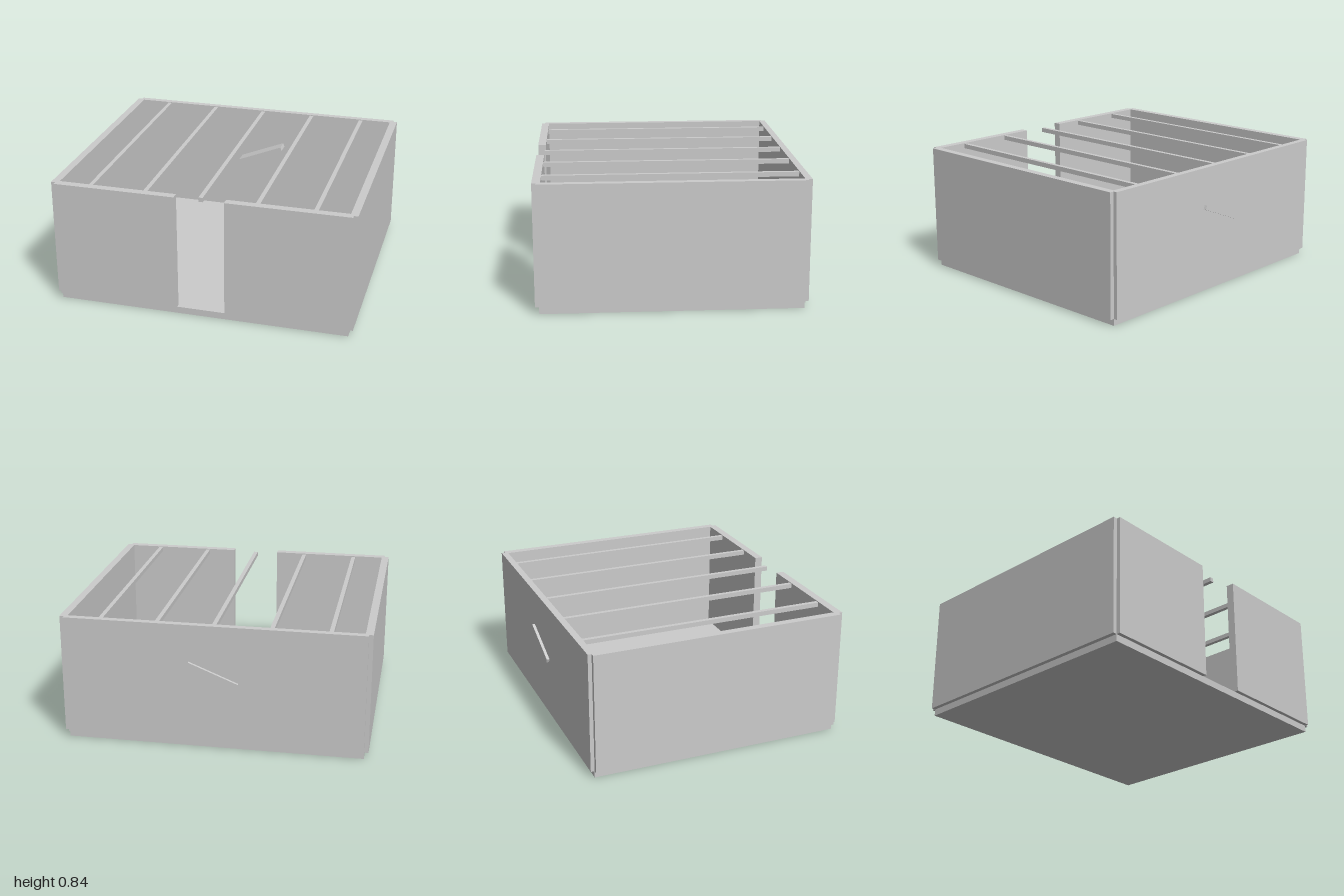
import * as THREE from 'three';

const material = new THREE.MeshStandardMaterial({ color: 0xcccccc, flatShading: true });

// Box given by its lower and upper corners
function block(name, [x0, y0, z0], [x1, y1, z1]) {
  const mesh = new THREE.Mesh(new THREE.BoxGeometry(x1 - x0, y1 - y0, z1 - z0), material);
  mesh.name = name;
  mesh.position.set((x0 + x1) / 2, (y0 + y1) / 2, (z0 + z1) / 2);
  return mesh;
}

export function createModel() {
  const model = new THREE.Group();
  model.name = 'openRoom';
  const floorTop = 0.045, top = 0.843;
  const halfWidth = 0.972, door = 0.164;
  const back = -0.831, front = 0.849; // ends of the floor and side walls

  model.add(block('floor', [-halfWidth, 0, back], [halfWidth, floorTop, front]));

  // Walls: solid back and sides, front split by a full-height doorway
  model.add(block('backWall', [-halfWidth, floorTop, -0.856], [halfWidth, top, -0.812]));
  model.add(block('rightWall', [-1, floorTop, back], [-0.95, top, front]));
  model.add(block('leftWall', [0.95, floorTop, back], [1, top, front]));
  model.add(block('frontWallRight', [-halfWidth, floorTop, 0.822], [-door, top, 0.875]));
  model.add(block('frontWallLeft', [door, floorTop, 0.822], [halfWidth, top, 0.875]));

  // Roof beams running front to back
  for (let i = -2; i <= 2; i++) {
    const x = i * 0.369 - 0.002;
    model.add(block('roofBeam', [x - 0.014, 0.808, -0.82], [x + 0.014, 0.838, 0.824]));
  }

  // Tilted plate passing through the back wall
  const plate = block('tiltedPlate', [-0.172, 0.506, -0.875], [0.172, 0.534, -0.718]);
  plate.rotation.z = THREE.MathUtils.degToRad(22);
  model.add(plate);

  return model;
}
